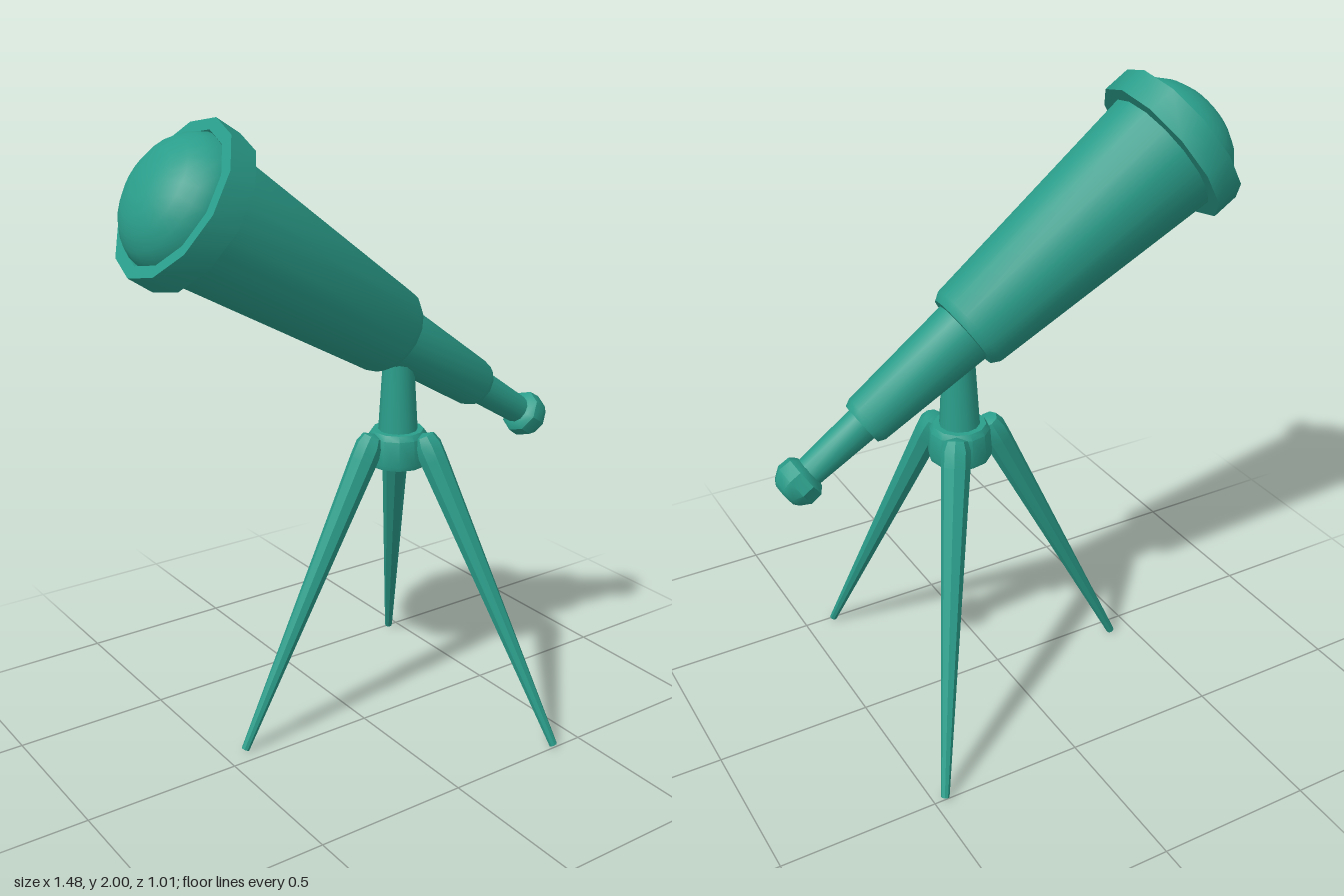
import * as THREE from 'three';
import { toCreasedNormals } from 'three/addons/utils/BufferGeometryUtils.js';

const material = new THREE.MeshStandardMaterial({ color: 0x2a9d8a });
const UP = new THREE.Vector3(0, 1, 0);

// Turned part: profile of [radius, distance] pairs, smooth round the axis, sharp at steps
function turned(name, profile, sides = 12) {
  const points = profile.map(([r, d]) => new THREE.Vector2(r, d));
  const geometry = toCreasedNormals(new THREE.LatheGeometry(points, sides), 0.7);
  const mesh = new THREE.Mesh(geometry, material);
  mesh.name = name;
  return mesh;
}

// Optical tube, built along +y from the lens to the eyepiece, then tilted
function createTube() {
  const tube = new THREE.Group();
  tube.name = 'opticalTube';
  tube.add(
    turned('lens', [[0, -0.107], [0.055, -0.104], [0.105, -0.092], [0.15, -0.068],
      [0.185, -0.035], [0.205, 0], [0.21, 0.03]], 24),
    turned('lensRim', [[0.2, 0.03], [0.212, 0], [0.25, 0], [0.25, 0.088], [0.19, 0.088]]),
    turned('mainTube', [[0.206, 0.08], [0.14, 0.86], [0.125, 0.885], [0.08, 0.885]], 16),
    turned('middleTube', [[0.103, 0.87], [0.08, 1.265], [0.07, 1.287], [0.03, 1.287]], 12),
    turned('eyepieceTube', [[0.056, 1.27], [0.046, 1.51]], 12),
    turned('eyepiece', [[0.03, 1.488], [0.055, 1.493], [0.073, 1.51], [0.075, 1.55],
      [0.055, 1.58], [0.04, 1.591], [0, 1.591]], 8),
  );
  const start = new THREE.Vector3(-0.6, 1.795, -0.057);
  const end = new THREE.Vector3(0.68, 0.935, -0.013);
  tube.position.copy(start);
  tube.quaternion.setFromUnitVectors(UP, end.sub(start).normalize());
  return tube;
}

// Tripod around its own vertical axis: hub, post and three splayed legs
function createTripod() {
  const tripod = new THREE.Group();
  tripod.name = 'tripod';
  tripod.add(
    turned('post', [[0.064, 0.97], [0.05, 1.2], [0.046, 1.3], [0, 1.3]], 12),
    turned('hub', [[0, 0.88], [0.096, 0.88], [0.1, 0.895], [0.094, 0.975], [0.082, 0.992], [0, 0.992]], 12),
  );
  const foot = new THREE.Vector3(0.572, 0.006, 0);
  const top = new THREE.Vector3(0.088, 0.99, 0);
  const axis = top.clone().sub(foot);
  const length = axis.length();
  for (let i = 0; i < 3; i++) {
    const leg = turned('leg', [[0, 0], [0.013, 0], [0.045, length - 0.09], [0.045, length - 0.04],
      [0.034, length - 0.01], [0, length]], 8);
    leg.position.copy(foot);
    leg.quaternion.setFromUnitVectors(UP, axis.clone().normalize());
    const pivot = new THREE.Group();
    pivot.name = 'legMount';
    pivot.rotation.y = Math.PI + (i * 2 * Math.PI) / 3;
    pivot.add(leg);
    tripod.add(pivot);
  }
  tripod.position.set(0.145, 0, -0.02);
  tripod.rotation.y = -0.065;
  return tripod;
}

export function createModel() {
  const model = new THREE.Group();
  model.name = 'telescope';
  model.add(createTube(), createTripod());
  return model;
}
